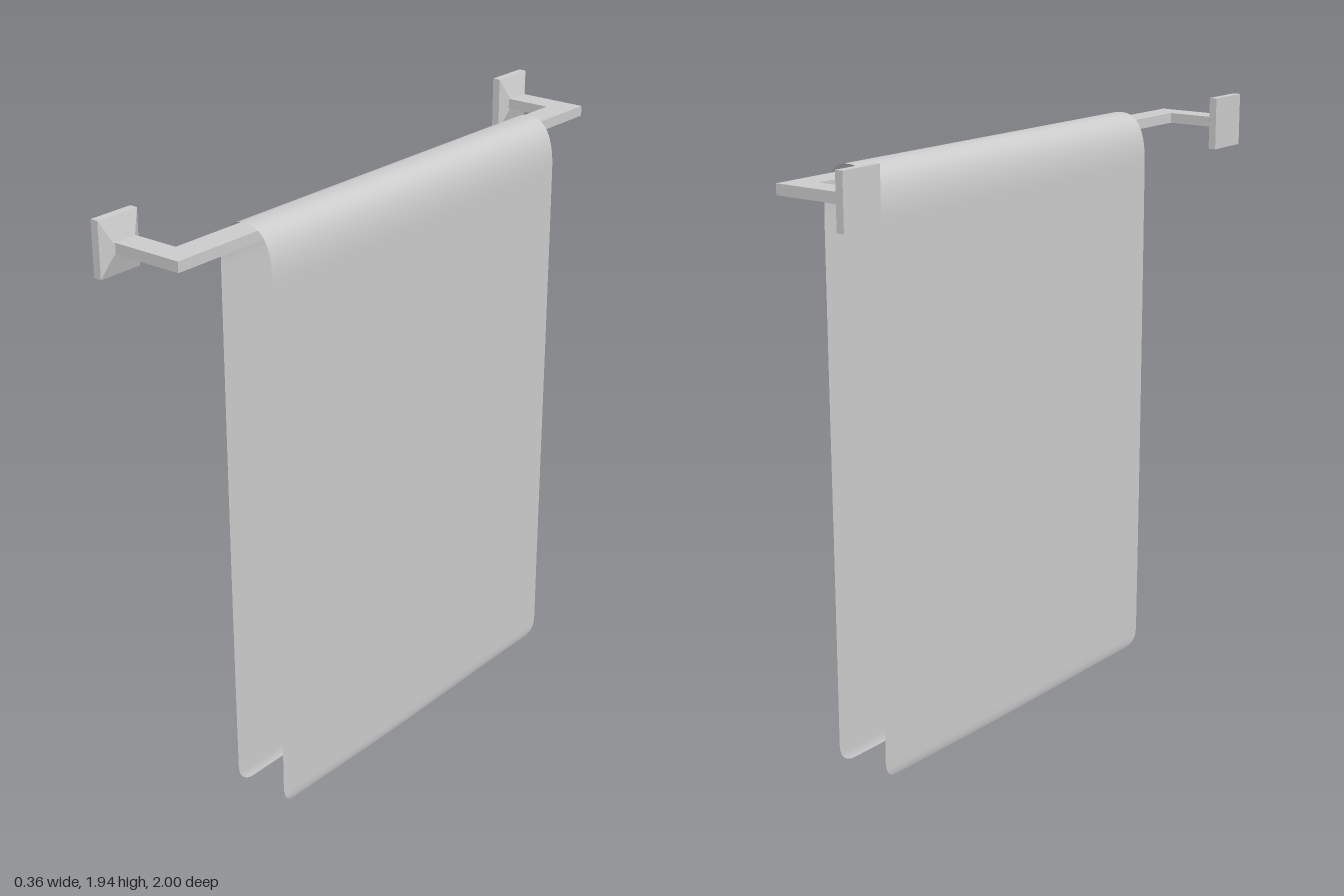
import * as THREE from 'three';

const grey = new THREE.MeshStandardMaterial({ color: 0xcccccc });
const cloth = new THREE.MeshStandardMaterial({ color: 0xcccccc, side: THREE.DoubleSide });

function part(name, geometry, material = grey) {
  const mesh = new THREE.Mesh(geometry, material);
  mesh.name = name;
  return mesh;
}

// U-shaped flat rail: two arms to the wall joined by the long bar
function railGeometry() {
  const points = [[-0.15, 0.96], [0.1, 0.96], [0.1, -0.96], [-0.15, -0.96],
    [-0.15, -0.88], [0.015, -0.88], [0.015, 0.88], [-0.15, 0.88]];
  const shape = new THREE.Shape(points.map(([x, z]) => new THREE.Vector2(x, z)));
  return new THREE.ExtrudeGeometry(shape, { depth: 0.033, bevelEnabled: false })
    .rotateX(-Math.PI / 2).translate(0, 1.835, 0);
}

// Box narrowed on its +x face to meet the arm
function taperGeometry() {
  const geo = new THREE.BoxGeometry(0.022, 0.17, 0.15);
  const p = geo.attributes.position;
  for (let i = 0; i < p.count; i++) {
    if (p.getX(i) > 0) p.setXYZ(i, p.getX(i), p.getY(i) * 0.2, p.getZ(i) * 0.54);
  }
  const flat = geo.toNonIndexed();
  flat.computeVertexNormals();
  return flat;
}

// Sheet draped over the bar, with rounded lower corners and faint ripples
function towelGeometry() {
  const geo = new THREE.PlaneGeometry(1, 2, 40, 120);
  const p = geo.attributes.position;
  const springY = 1.72, arch = 0.4, corner = 0.075;
  for (let i = 0; i < p.count; i++) {
    const u = p.getX(i) * 2, t = p.getY(i), side = Math.sign(t);
    let x, y, z = u * 0.68;
    if (Math.abs(t) <= arch) {
      const a = (t / arch) * Math.PI / 2;
      x = side * 0.097 * Math.abs(Math.sin(a)) ** 0.8;
      y = springY + 0.17 * Math.max(0, Math.cos(a)) ** 0.8;
    } else {
      const s = (Math.abs(t) - arch) / (1 - arch);
      y = springY * (1 - s) ** 2;
      x = side * (0.097 - 0.005 * Math.max(0, 1 - y / 0.03) ** 2);
      if (y < corner) {
        const k = 1 - y / corner;
        z = u * (0.68 - 0.055 * (1 - Math.sqrt(Math.max(0, 1 - k ** 3))));
      }
      x += 0.003 * Math.sin(z * 5 + y * 1.5 + side) * Math.sin(s * Math.PI / 2);
    }
    p.setXYZ(i, x + 0.073, y, z - 0.015);
  }
  geo.computeVertexNormals();
  return geo;
}

export function createModel() {
  const model = new THREE.Group();
  model.name = 'towelRail';
  model.add(part('rail', railGeometry()));

  // Wall mounts at both ends
  for (const side of [1, -1]) {
    const mount = new THREE.Group();
    mount.name = side > 0 ? 'frontMount' : 'backMount';
    const plate = part('wallPlate', new THREE.BoxGeometry(0.026, 0.17, 0.15));
    plate.position.x = -0.17;
    const taper = part('plateTaper', taperGeometry());
    taper.position.x = -0.146;
    mount.add(plate, taper);
    mount.position.set(0, 1.851, side * 0.925);
    model.add(mount);
  }

  model.add(part('towel', towelGeometry(), cloth));
  return model;
}
